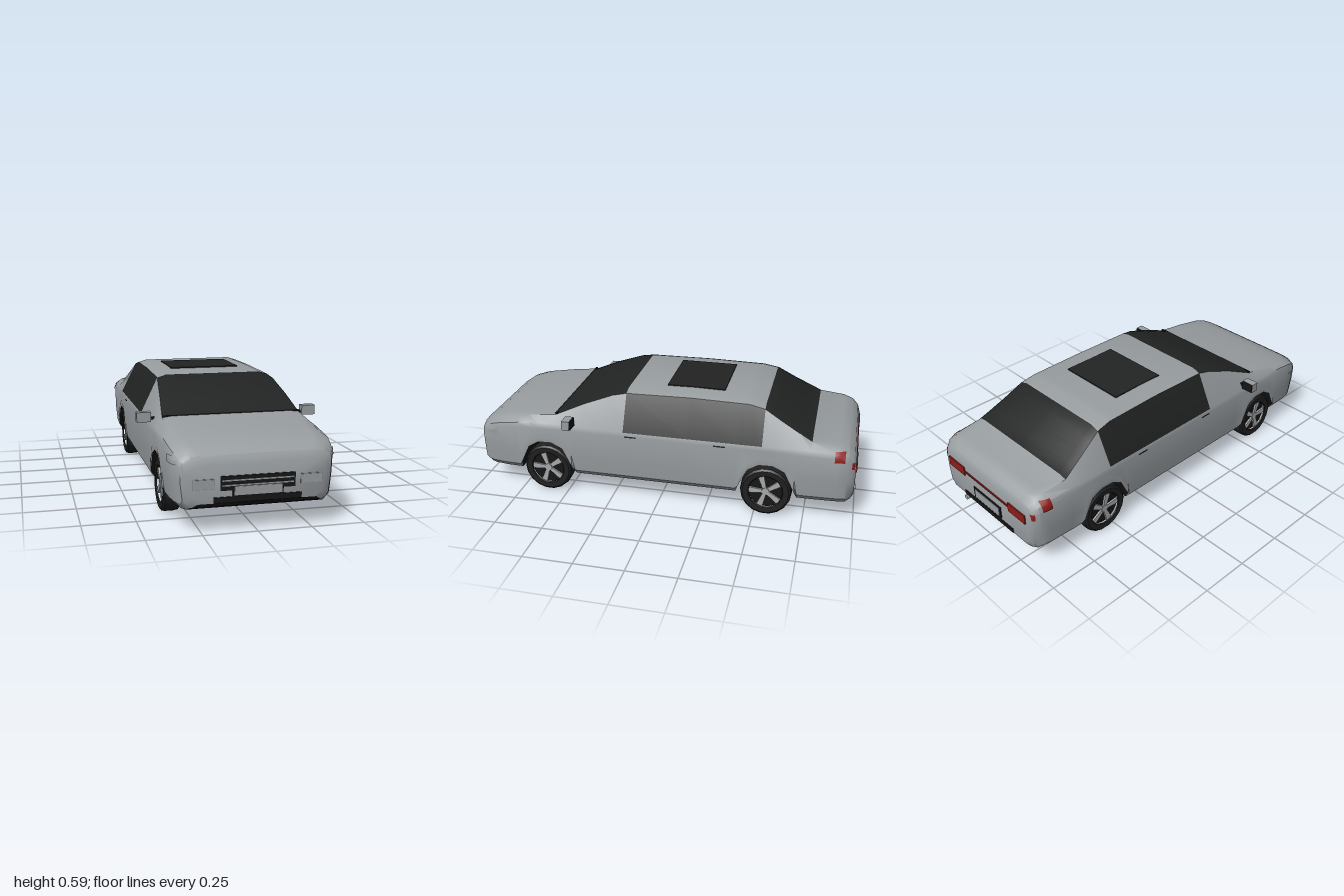
import * as THREE from 'three';
import { toCreasedNormals } from 'three/addons/utils/BufferGeometryUtils.js';

const mat = (name, color, side = THREE.FrontSide) => {
  const m = new THREE.MeshStandardMaterial({ color, side });
  m.name = name;
  return m;
};

// Body stations, front to back: z, max half-width, shoulder y, belt x, belt y, roof edge x, roof edge y, top y
const STATIONS = [
  [0.988, 0.31, 0.27, 0.30, 0.295, 0.28, 0.305, 0.31],
  [0.97, 0.345, 0.30, 0.335, 0.325, 0.30, 0.345, 0.35],
  [0.92, 0.37, 0.33, 0.36, 0.355, 0.325, 0.375, 0.382],
  [0.85, 0.38, 0.35, 0.372, 0.375, 0.335, 0.397, 0.405],
  [0.70, 0.385, 0.37, 0.375, 0.393, 0.34, 0.42, 0.427],
  [0.55, 0.386, 0.37, 0.378, 0.397, 0.34, 0.438, 0.445],
  [0.40, 0.387, 0.37, 0.38, 0.395, 0.322, 0.505, 0.515],
  [0.25, 0.387, 0.37, 0.382, 0.393, 0.305, 0.56, 0.573],
  [0.18, 0.387, 0.37, 0.383, 0.392, 0.295, 0.573, 0.587],
  [-0.15, 0.387, 0.37, 0.383, 0.392, 0.292, 0.578, 0.593],
  [-0.45, 0.387, 0.37, 0.383, 0.392, 0.293, 0.573, 0.587],
  [-0.53, 0.387, 0.37, 0.383, 0.392, 0.298, 0.557, 0.572],
  [-0.62, 0.386, 0.37, 0.38, 0.392, 0.313, 0.505, 0.52],
  [-0.77, 0.385, 0.365, 0.375, 0.392, 0.34, 0.425, 0.432],
];
const TAIL = [
  [-0.90, 0.38, 0.36, 0.37, 0.385, 0.335, 0.412, 0.42],
  [-0.95, 0.372, 0.345, 0.362, 0.372, 0.33, 0.395, 0.405],
  [-0.98, 0.35, 0.325, 0.342, 0.348, 0.315, 0.365, 0.372],
  [-0.99, 0.335, 0.305, 0.325, 0.322, 0.30, 0.335, 0.34],
];
const BODY = [...STATIONS, ...TAIL];

// Underside height, rising over each wheel
const AXLES = [0.605, -0.557];
const ARCH = [[0.155, 0.11], [0.14, 0.16], [0.095, 0.255], [0.04, 0.288], [-0.03, 0.29],
  [-0.09, 0.262], [-0.14, 0.16], [-0.155, 0.11]];
const FLOOR = [[0.988, 0.14], [0.975, 0.122], [0.95, 0.11],
  ...AXLES.flatMap(a => ARCH.map(([z, y]) => [a + z, y])),
  [-0.95, 0.11], [-0.975, 0.122], [-0.99, 0.14]];

// Linear interpolation in a table sorted by falling z
function sample(table, z) {
  let i = 0;
  while (i < table.length - 2 && table[i + 1][0] > z) i++;
  const a = table[i], b = table[i + 1];
  const t = THREE.MathUtils.clamp((a[0] - z) / (a[0] - b[0]), 0, 1);
  return a.map((v, k) => v + (b[k] - v) * t);
}

// Right half of a cross-section, from bottom centre to top centre
function halfSection(z) {
  const [, w, s, xb, yb, xr, yr, yt] = sample(BODY, z);
  const b = sample(FLOOR, z)[1];
  const inset = b > 0.15 ? 0.004 : 0.04;
  return [[0, b], [w - inset, b], [w - inset * 0.3, b + 0.03], [w - 0.003, Math.max(0.23, b + 0.04)],
    [w, s], [xb, yb], [xr, yr], [xr - 0.045, yt], [0, yt]];
}

function sideX(z, y) {
  const p = halfSection(z);
  for (let i = 2; i < 6; i++) {
    if (y <= p[i + 1][1]) return THREE.MathUtils.lerp(p[i][0], p[i + 1][0], Math.max(0, (y - p[i][1]) / (p[i + 1][1] - p[i][1])));
  }
  return p[6][0];
}

// Lofted shell with body, glass and underside groups
function bodyGeometry() {
  const zs = [...new Set([...BODY, ...FLOOR].map(r => r[0]))].sort((a, b) => b - a);
  const pos = [], lists = [[], [], []];
  for (const z of zs) {
    const h = halfSection(z);
    const ring = [...h, ...h.slice(1, -1).reverse().map(([x, y]) => [-x, y])];
    for (const [x, y] of ring) pos.push(x, y, z);
  }
  const n = 16, last = (zs.length - 1) * n;
  for (let i = 0; i < zs.length - 1; i++) {
    const zm = (zs[i] + zs[i + 1]) / 2;
    for (let j = 0; j < n; j++) {
      const k = Math.min(j, n - 1 - j);
      const sideGlass = k === 5 && zm < 0.18 && zm > -0.53;
      const endGlass = k >= 6 && ((zm < 0.55 && zm > 0.18) || (zm < -0.53 && zm > -0.77));
      const list = lists[k === 0 ? 2 : sideGlass || endGlass ? 1 : 0];
      const a = i * n + j, b = i * n + (j + 1) % n;
      list.push(a, a + n, b, a + n, b + n, b);
    }
  }
  for (let j = 1; j < n - 1; j++) lists[0].push(0, j, j + 1, last, last + j + 1, last + j);
  const g = new THREE.BufferGeometry();
  g.setAttribute('position', new THREE.Float32BufferAttribute(pos, 3));
  g.setIndex(lists.flat());
  let start = 0;
  lists.forEach((l, m) => { g.addGroup(start, l.length, m); start += l.length; });
  return toCreasedNormals(g, 0.55);
}

export function createModel() {
  const paint = mat('silverPaint', 0x989da0);
  const glass = mat('darkGlass', 0x222323);
  const black = mat('blackTrim', 0x161616);
  const rubber = mat('tyreRubber', 0x202020);
  const red = mat('redLamp', 0x8c1c18, THREE.DoubleSide);
  const alloy = mat('alloy', 0xa6a9ab);
  const trim = mat('greyTrim', 0x7c8184, THREE.DoubleSide);
  const car = new THREE.Group();
  car.name = 'sedan';

  const add = (name, geo, material, x = 0, y = 0, z = 0, parent = car) => {
    const m = new THREE.Mesh(geo, material);
    m.name = name;
    m.position.set(x, y, z);
    parent.add(m);
    return m;
  };
  const box = (name, material, x0, x1, y0, y1, z0, z1) => add(name,
    new THREE.BoxGeometry(x1 - x0, y1 - y0, z1 - z0), material, (x0 + x1) / 2, (y0 + y1) / 2, (z0 + z1) / 2);

  // Thin patch that follows the body side
  const patch = (name, material, s, z0, z1, y0, y1) => {
    const g = new THREE.PlaneGeometry(1, 1, 4, 4), p = g.attributes.position;
    for (let i = 0; i < p.count; i++) {
      const z = THREE.MathUtils.lerp(z0, z1, 0.5 - s * p.getX(i));
      const y = THREE.MathUtils.lerp(y0, y1, p.getY(i) + 0.5);
      p.setXYZ(i, s * (sideX(z, y) + 0.004), y, z);
    }
    g.computeVertexNormals();
    add(name, g, material);
  };

  add('body', bodyGeometry(), [paint, glass, black]);
  box('sunroof', glass, -0.185, 0.185, 0.589, 0.596, -0.31, -0.01);
  box('cowlStrip', black, -0.34, 0.34, 0.44, 0.447, 0.545, 0.555);

  // Front grille, plate and intake
  box('grille', black, -0.17, 0.17, 0.195, 0.26, 0.986, 0.992);
  for (const y of [0.218, 0.24]) box('grilleBar', paint, -0.162, 0.162, y - 0.003, y + 0.003, 0.988, 0.995);
  box('frontPlateFrame', black, -0.115, 0.115, 0.168, 0.218, 0.986, 0.994);
  box('frontPlate', paint, -0.108, 0.108, 0.173, 0.213, 0.988, 0.997);
  box('frontIntake', black, -0.2, 0.2, 0.141, 0.167, 0.986, 0.992);

  // Rear panel
  box('rearLampStrip', red, -0.19, 0.19, 0.288, 0.298, -0.995, -0.988);
  box('rearPlateFrame', black, -0.11, 0.11, 0.175, 0.24, -0.995, -0.988);
  box('rearPlate', paint, -0.1, 0.1, 0.182, 0.233, -0.998, -0.99);
  box('rearIntake', black, -0.2, 0.2, 0.141, 0.165, -0.994, -0.988);
  add('exhaust', new THREE.CylinderGeometry(0.013, 0.013, 0.09, 12).rotateX(Math.PI / 2), alloy, 0.19, 0.125, -0.955);

  for (const s of [1, -1]) {
    const side = (name, m, a, b, ...r) => box(name, m, Math.min(s * a, s * b), Math.max(s * a, s * b), ...r);
    side('headlampFrame', trim, 0.195, 0.295, 0.205, 0.25, 0.984, 0.99);
    side('headlamp', paint, 0.197, 0.293, 0.207, 0.248, 0.986, 0.992);
    side('tailLamp', red, 0.18, 0.31, 0.268, 0.318, -0.996, -0.988);
    patch('rearSideLamp', red, s, -0.935, -0.885, 0.345, 0.395);
    patch('rearCornerLamp', red, s, -0.984, -0.97, 0.305, 0.34);
    patch('frontCornerLamp', paint, s, 0.87, 0.95, 0.31, 0.345);
    for (const z of [0.14, -0.32]) patch('doorHandle', black, s, z - 0.03, z + 0.03, 0.369, 0.376);
    // Door mirror
    side('mirrorStalk', black, 0.35, 0.39, 0.414, 0.426, 0.45, 0.465);
    side('mirrorShell', paint, 0.382, 0.45, 0.405, 0.453, 0.443, 0.483);
    side('mirrorGlass', black, 0.384, 0.448, 0.407, 0.451, 0.437, 0.444);
  }

  // Wheels
  const tyreProfile = [[0.086, -0.036], [0.09, -0.041], [0.118, -0.043], [0.128, -0.035], [0.131, -0.02],
    [0.131, 0.02], [0.128, 0.035], [0.118, 0.043], [0.09, 0.041], [0.086, 0.036]].map(p => new THREE.Vector2(...p));
  const tyre = toCreasedNormals(new THREE.LatheGeometry(tyreProfile, 18).rotateZ(Math.PI / 2), 0.6);
  const disc = new THREE.CylinderGeometry(0.09, 0.09, 0.05, 18).rotateZ(Math.PI / 2);
  const hub = new THREE.CylinderGeometry(0.02, 0.02, 0.076, 10).rotateZ(Math.PI / 2);
  const spokeShape = new THREE.Shape([[-0.009, 0.01], [0.009, 0.01], [0.016, 0.087], [-0.016, 0.087]]
    .map(p => new THREE.Vector2(...p)));
  const spoke = new THREE.ExtrudeGeometry(spokeShape, { depth: 0.07, bevelEnabled: false })
    .translate(0, 0, -0.035).rotateY(Math.PI / 2);
  for (const z of AXLES) for (const s of [1, -1]) {
    const wheel = new THREE.Group();
    wheel.name = z > 0 ? 'frontWheel' : 'rearWheel';
    wheel.position.set(s * 0.327, 0.133, z);
    add('tyre', tyre, rubber, 0, 0, 0, wheel);
    add('wheelDisc', disc, black, 0, 0, 0, wheel);
    add('hub', hub, alloy, 0, 0, 0, wheel);
    for (let i = 0; i < 5; i++) add('spoke', spoke, alloy, 0, 0, 0, wheel).rotation.x = i * Math.PI * 0.4 + 0.3;
    car.add(wheel);
  }
  return car;
}
